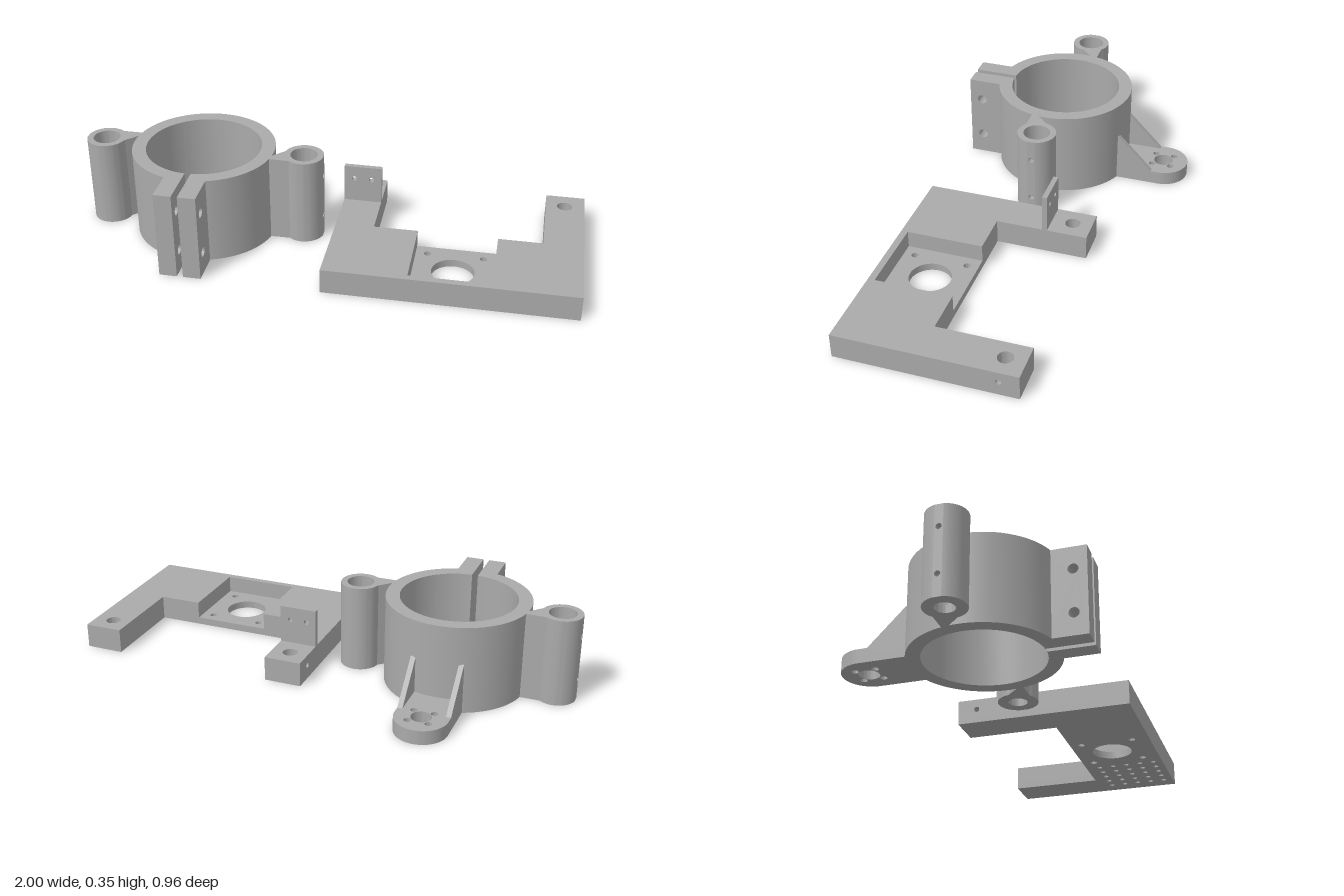
import * as THREE from 'three';
import { toCreasedNormals } from 'three/addons/utils/BufferGeometryUtils.js';

const grey = new THREE.MeshStandardMaterial({ color: 0xaaaaaa });
grey.name = 'plain grey';

// Closed polygon with optional round holes given as [x, y, radius]
function polygon(points, holes = []) {
  return withHoles(new THREE.Shape(points.map(([x, y]) => new THREE.Vector2(x, y))), holes);
}

function withHoles(shape, holes) {
  for (const [x, y, r] of holes) {
    const path = new THREE.Path();
    path.absarc(x, y, r, 0, Math.PI * 2, true);
    shape.holes.push(path);
  }
  return shape;
}

const rect = (x0, y0, x1, y1, holes) => polygon([[x0, y0], [x1, y0], [x1, y1], [x0, y1]], holes);

function part(name, geometry) {
  const mesh = new THREE.Mesh(toCreasedNormals(geometry, 0.5), grey);
  mesh.name = name;
  return mesh;
}

function extrude(shape, depth, curveSegments = 24) {
  return new THREE.ExtrudeGeometry(shape, { depth, bevelEnabled: false, curveSegments });
}

// Outline in (x, z), raised from y0 to y1
function plan(name, shape, y0, y1, segments) {
  return part(name, extrude(shape, y1 - y0, segments).rotateX(Math.PI / 2).translate(0, y1, 0));
}

// Outline in (z, y), running from x0 to x1
function side(name, shape, x0, x1) {
  return part(name, extrude(shape, x1 - x0).rotateY(-Math.PI / 2).translate(x1, 0, 0));
}

const H = 0.355;

// Vertical tube with a bottom lip and two screw holes facing +x or -x
function createBoss(dir) {
  const R = 0.079, bore = 0.054, half = 0.016;
  const gap = Math.asin(half / R);
  const boss = new THREE.Group();
  boss.name = 'rodSocket';
  const lathe = (points, start, length) => new THREE.LatheGeometry(
    points.map(([x, y]) => new THREE.Vector2(x, y)), 48, start, length);
  boss.add(part('socketWall', lathe(
    [[bore, 0], [R, 0], [R, H], [bore, H], [bore, 0]],
    dir * Math.PI / 2 + gap, Math.PI * 2 - 2 * gap)));
  boss.add(part('socketLip', lathe(
    [[0.037, 0], [0.06, 0], [0.06, 0.03], [0.037, 0.03], [0.037, 0]], 0, Math.PI * 2)));
  const face = R * Math.cos(gap), inner = bore * Math.cos(gap);
  const strip = rect(-half, 0, half, H, [[0, 0.268, 0.011], [0, 0.087, 0.011]]);
  boss.add(side('screwStrip', strip, dir > 0 ? inner : -face, dir > 0 ? face : -inner));
  return boss;
}

function createClamp() {
  const clamp = new THREE.Group();
  clamp.name = 'ringClamp';
  clamp.position.set(-0.5155, 0, 0.07);

  // Split ring, open towards the front
  const ro = 0.285, ri = 0.23, slit = 0.012;
  const ao = Math.asin(slit / ro), ai = Math.asin(slit / ri), q = Math.PI / 2;
  const ring = new THREE.Shape();
  ring.absarc(0, 0, ro, q + ao, q + Math.PI * 2 - ao, false);
  ring.absarc(0, 0, ri, q + Math.PI * 2 - ai, q + ai, true);
  ring.closePath();
  clamp.add(plan('splitRing', ring, 0, H, 72));

  const bossX = 0.406;
  for (const s of [-1, 1]) {
    // Bolt tabs beside the slit
    const tab = rect(0.25, 0, 0.408, H, [[0.355, 0.265, 0.02], [0.355, 0.09, 0.02]]);
    clamp.add(side('boltTab', tab, s > 0 ? slit : -0.082, s > 0 ? 0.082 : -slit));

    // Rod sockets and the webs that join them to the ring
    const boss = createBoss(s);
    boss.position.x = s * bossX;
    clamp.add(boss);
    const w = 0.0615, r = 0.067, a = Math.asin(w / r);
    const web = new THREE.Shape();
    web.moveTo(0.255, -w);
    web.absarc(bossX, 0, r, Math.PI + a, Math.PI - a, true);
    web.lineTo(0.255, w);
    web.closePath();
    const mesh = plan('socketWeb', web, 0, H);
    if (s < 0) mesh.rotation.y = Math.PI;
    clamp.add(mesh);

    // Sloping gussets above the foot
    const gusset = polygon([[-0.415, 0.05], [-0.24, 0.05], [-0.24, 0.205], [-0.268, 0.205], [-0.415, 0.057]]);
    clamp.add(side('gusset', gusset, s > 0 ? 0.084 : -0.104, s > 0 ? 0.104 : -0.084));
  }

  // Rounded rear foot with one large and four small holes
  const fz = -0.448, fr = 0.104, holes = [[0, fz, 0.04]];
  for (const i of [-1, 1]) for (const j of [-1, 1]) holes.push([i * 0.04, fz + j * 0.04, 0.014]);
  const foot = new THREE.Shape();
  foot.moveTo(fr, -0.242);
  foot.lineTo(-fr, -0.242);
  foot.absarc(0, fz, fr, Math.PI, Math.PI * 2, false);
  foot.closePath();
  clamp.add(plan('rearFoot', withHoles(foot, holes), 0, 0.057));
  return clamp;
}

function createBracket() {
  const bracket = new THREE.Group();
  bracket.name = 'motorBracket';
  const x0 = 0.032, x1 = 1, back = -0.228, mid = 0.142, front = 0.48;
  const armL = 0.184, armR = 0.845, floor = 0.03, top = 0.1, skin = 0.043;
  const cx = 0.514, cz = 0.298;

  // Lower layer: motor holes and a grid of vent holes on the underside
  const holes = [[cx, cz, 0.083]];
  for (const i of [-1, 1]) for (const j of [-1, 1]) holes.push([cx + i * 0.109, cz + j * 0.109, 0.014]);
  for (let i = 0; i < 5; i++) {
    for (let j = 0; j < 5; j++) holes.push([0.69 + i * 0.06, 0.2 + j * 0.06, 0.011]);
  }
  bracket.add(plan('bracketFloor', polygon([
    [x0, back], [armL, back], [armL, mid], [armR, mid], [armR, back],
    [x1, back], [x1, front], [x0, front]], holes), 0, floor));

  // Upper layer: leaves the motor recess open to the back
  bracket.add(plan('bracketBody', polygon([
    [x0 + skin, back], [armL, back], [armL, mid], [0.358, mid], [0.358, 0.453],
    [0.671, 0.453], [0.671, mid], [armR, mid], [armR, back],
    [x1 - skin, back], [x1 - skin, front], [x0 + skin, front]],
  [[0.107, -0.15, 0.03], [0.92, -0.15, 0.03]]), floor, top));

  // Outer walls with set screw holes
  for (const x of [x0, x1 - skin]) {
    const wall = rect(back, floor, front, top, [[-0.15, 0.057, 0.011]]);
    bracket.add(side('outerWall', wall, x, x + skin));
  }

  // Upright sensor plate on the right arm
  const plate = rect(x0, top, armL, 0.255, [[0.072, 0.2, 0.01], [0.142, 0.2, 0.01]]);
  bracket.add(part('uprightPlate', extrude(plate, 0.02).translate(0, 0, -0.066)));
  return bracket;
}

export function createModel() {
  const model = new THREE.Group();
  model.name = 'clampAndBracket';
  model.add(createClamp(), createBracket());
  return model;
}
